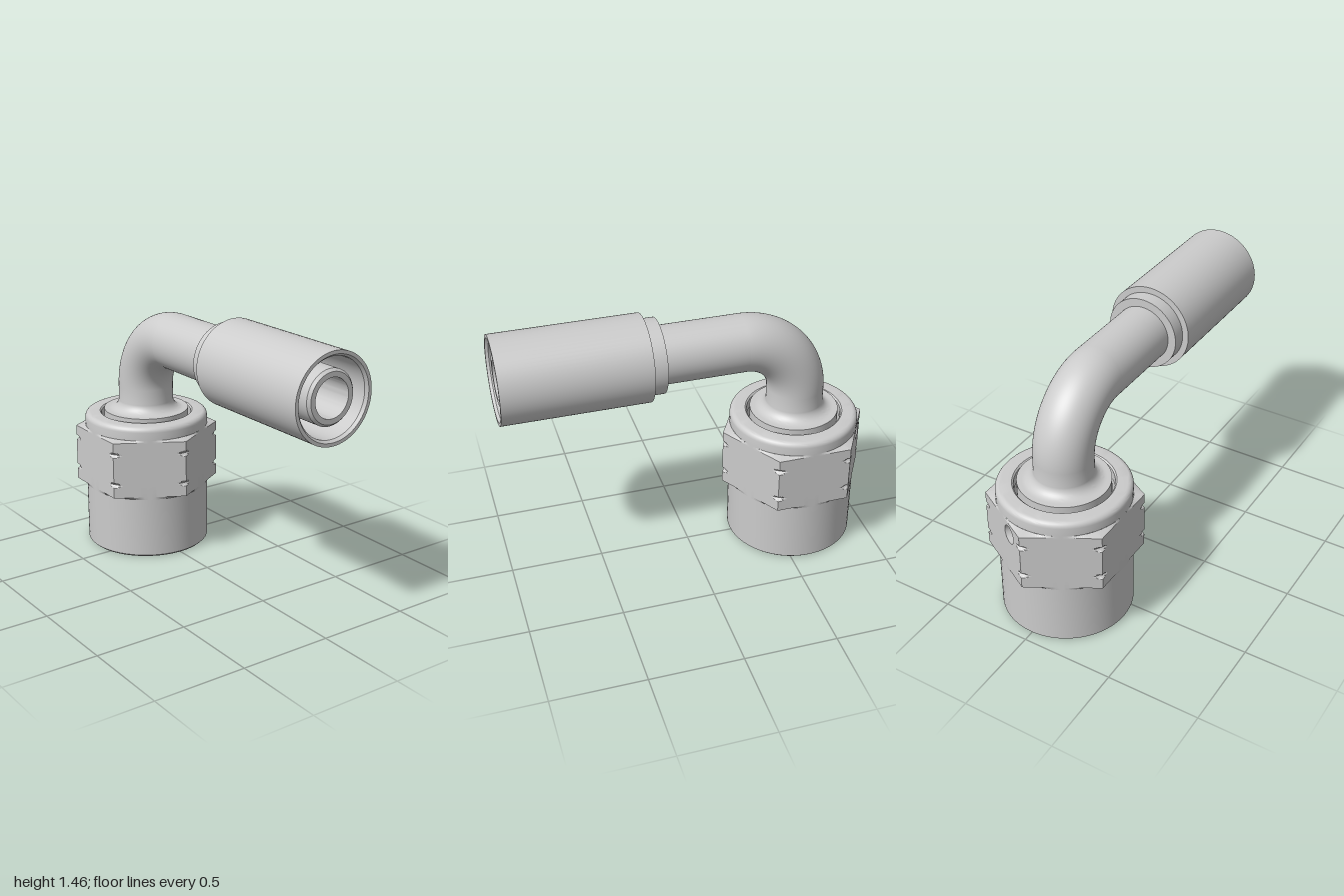
import * as THREE from 'three';
import { toCreasedNormals } from 'three/addons/utils/BufferGeometryUtils.js';

const grey = new THREE.MeshStandardMaterial({ color: 0xcccccc });
const greyInside = new THREE.MeshStandardMaterial({ color: 0xcccccc, side: THREE.BackSide });

const NUT_X = -0.6;      // axis of nut and stem
const HOSE_Y = 1.225;    // axis of the hose end
const BEND = 0.31;       // elbow centreline radius
const TUBE = 0.153, BORE = 0.1;
const APOTHEM = 0.3464;  // hexagon flats

function part(name, geometry, material = grey) {
  const mesh = new THREE.Mesh(geometry, material);
  mesh.name = name;
  return mesh;
}

// Turned part from [radius, height] pairs: outside upward, inside downward
function turned(profile) {
  const points = profile.map(([r, y]) => new THREE.Vector2(r, y));
  return toCreasedNormals(new THREE.LatheGeometry(points, 72), 0.5);
}

// Points of an arc in a profile, angles in degrees
function arc(cx, cy, r, from, to, steps = 6) {
  return Array.from({ length: steps + 1 }, (_, i) => {
    const a = THREE.MathUtils.degToRad(from + (to - from) * i / steps);
    return [cx + r * Math.cos(a), cy + r * Math.sin(a)];
  });
}

// Hexagon sides, trimmed to a turned envelope of [y, largest radius]
const HOLE = { face: 3, t: -0.08, y: 0.61, half: 0.06, r: 0.05 };

function hexGeometry() {
  const groove = y => [[y - 0.015, 0.4], [y - 0.0075, 0.386], [y, 0.38], [y + 0.0075, 0.386], [y + 0.015, 0.4]];
  const rows = [
    [0.345, APOTHEM], [0.36, 0.4], ...groove(0.435), [HOLE.y - HOLE.half, 0.4],
    ...groove(0.61), [HOLE.y + HOLE.half, 0.4], [0.68, 0.4], [0.69, APOTHEM],
  ];
  const steps = 40, positions = [];
  for (let face = 0; face < 6; face++) {
    const a = Math.PI / 6 + face * Math.PI / 3;
    const point = (i, [y, limit]) => {
      const t = (i / steps - 0.5) * 0.4;
      const s = Math.min(1, limit / Math.hypot(APOTHEM, t));
      return [
        s * (APOTHEM * Math.cos(a) - t * Math.sin(a)), y,
        s * (APOTHEM * Math.sin(a) + t * Math.cos(a)),
      ];
    };
    for (let j = 0; j < rows.length - 1; j++) {
      for (let i = 0; i < steps; i++) {
        // leave a window for the drilled hole
        const t = ((i + 0.5) / steps - 0.5) * 0.4;
        const y = (rows[j][0] + rows[j + 1][0]) / 2;
        if (face === HOLE.face && Math.abs(t - HOLE.t) < HOLE.half && Math.abs(y - HOLE.y) < HOLE.half) continue;
        const p = point(i, rows[j]), q = point(i, rows[j + 1]);
        const r = point(i + 1, rows[j + 1]), s = point(i + 1, rows[j]);
        positions.push(...p, ...q, ...r, ...p, ...r, ...s);
      }
    }
  }
  const geometry = new THREE.BufferGeometry();
  geometry.setAttribute('position', new THREE.Float32BufferAttribute(positions, 3));
  return toCreasedNormals(geometry, 0.15);
}

// Drilled hole in one flat of the hexagon
function drilledHole() {
  const group = new THREE.Group();
  group.name = 'drilledHole';
  const h = HOLE.half;
  const plate = new THREE.Shape([[-h, -h], [h, -h], [h, h], [-h, h]].map(p => new THREE.Vector2(...p)));
  plate.holes.push(new THREE.Path().absarc(0, 0, HOLE.r, 0, Math.PI * 2, true));
  const rim = part('holeRim', new THREE.ShapeGeometry(plate, 24));
  rim.position.set(-HOLE.t, HOLE.y, APOTHEM);
  const depth = 0.1;
  const wall = part('holeWall',
    new THREE.CylinderGeometry(HOLE.r, HOLE.r, depth, 32, 1, true).rotateX(Math.PI / 2), greyInside);
  wall.position.set(-HOLE.t, HOLE.y, APOTHEM - depth / 2);
  group.add(rim, wall);
  const a = Math.PI / 6 + HOLE.face * Math.PI / 3;
  group.rotation.y = Math.atan2(Math.cos(a), Math.sin(a));
  return group;
}

export function createModel() {
  const model = new THREE.Group();
  model.name = 'elbowHoseFitting';

  // Swivel nut: collar, bore and skirt in one profile, plus the hexagon
  const nut = new THREE.Group();
  nut.name = 'swivelNut';
  nut.add(part('nutBody', turned([
    [APOTHEM, 0.69], ...arc(APOTHEM - 0.03, 0.735, 0.03, 0, 90),
    [0.262, 0.765], [0.254, 0.757], [0.254, 0.7], [0.265, 0.69],
    [0.265, 0.025], [0.285, 0], [0.336, 0], [APOTHEM, 0.01], [APOTHEM, 0.345],
  ])));
  nut.add(part('nutHexagon', hexGeometry()), drilledHole());
  nut.position.x = NUT_X;
  model.add(nut);

  // Stem: cone nose inside the nut, flange, fillet up to the tube
  const stem = part('stem', turned([
    [BORE, 0.15], [0.13, 0.15], [0.238, 0.3], [0.238, 0.78],
    ...arc(TUBE + 0.06, 0.84, 0.06, 270, 180, 10),
    [TUBE, HOSE_Y - BEND], [BORE, HOSE_Y - BEND], [BORE, 0.15],
  ]));
  stem.position.x = NUT_X;
  model.add(stem);

  // Quarter bend, outside and bore
  for (const [name, radius, material] of [['elbow', TUBE, grey], ['elbowBore', BORE, greyInside]]) {
    const bend = part(name,
      new THREE.TorusGeometry(BEND, radius, 72, 40, Math.PI / 2).rotateZ(Math.PI / 2), material);
    bend.position.set(NUT_X + BEND, HOSE_Y - BEND, 0);
    model.add(bend);
  }

  // Hose end, turned about the x axis
  const start = NUT_X + BEND;
  const hoseParts = {
    nippleTube: [
      [BORE, start], [TUBE, start], [TUBE, 0.3], [0.14, 0.3], [0.14, 0.97],
      [0.127, 0.985], [BORE, 0.985], [BORE, start],
    ],
    collar: [[TUBE, 0.155], [0.197, 0.155], [0.197, 0.23]],
    crimpSleeve: [
      [0.19, 0.23], [0.23, 0.23], [0.23, 1], [0.212, 1], [0.2, 0.985], [0.2, 0.3], [0.14, 0.3],
    ],
  };
  for (const [name, profile] of Object.entries(hoseParts)) {
    const mesh = part(name, turned(profile).rotateZ(-Math.PI / 2));
    mesh.position.y = HOSE_Y;
    model.add(mesh);
  }
  return model;
}
